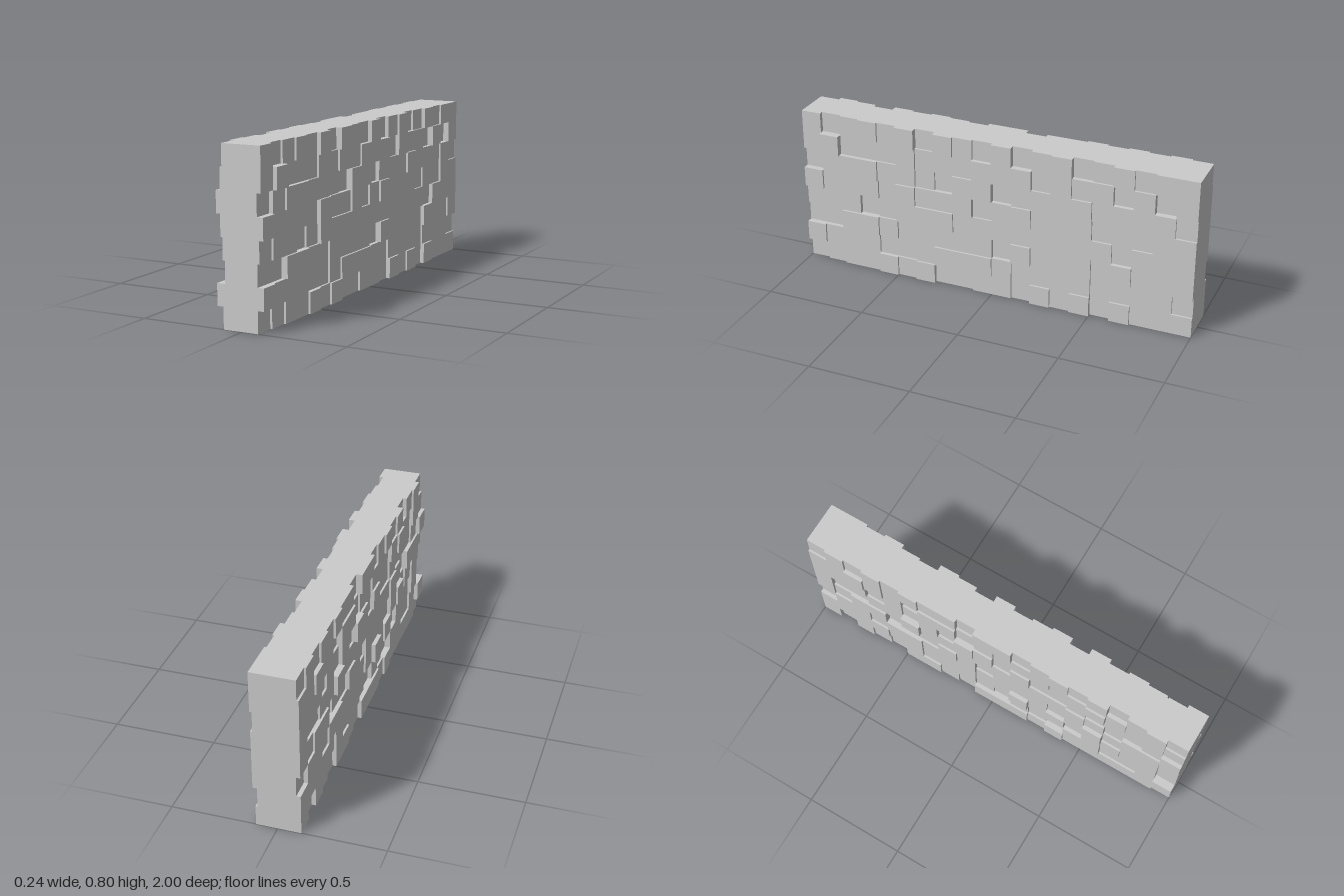
import * as THREE from 'three';
import { mergeGeometries } from 'three/addons/utils/BufferGeometryUtils.js';

const COLS = 20, ROWS = 8, S = 0.1;

// seeded generator for the block relief
function seeded(seed) {
  return () => {
    seed = (seed * 1664525 + 1013904223) >>> 0;
    return seed / 4294967296;
  };
}

// relief depth per block, col 0 at the front (+z), row 0 at the ground
function relief(seed, { front, top, deep, proud, flat }) {
  const rnd = seeded(seed);
  const levels = [0.09, 0.1, 0.1, 0.1, 0.11, 0.11, 0.09, 0.11];
  const h = Array.from({ length: COLS }, () =>
    Array.from({ length: ROWS }, () => levels[Math.floor(rnd() * levels.length)]));
  for (const [c0, c1, r0, r1] of flat)
    for (let c = c0; c <= c1; c++) for (let r = r0; r <= r1; r++) h[c][r] = 0.1;
  for (const [c, r] of deep) h[c][r] = 0.08;
  for (const [c, r, v] of proud) h[c][r] = v;
  top.forEach((v, c) => { h[c][ROWS - 1] = v / 100; });
  front.forEach((v, r) => { h[0][r] = v / 100; });
  return h;
}

const leftRelief = relief(11, {
  front: [8, 11, 8, 9, 11, 8, 10, 10],
  top: [10, 8, 9, 10, 9, 11, 8, 11, 10, 9, 11, 8, 10, 11, 8, 9, 11, 10, 11, 11],
  deep: [[7, 5], [10, 5], [10, 2], [3, 3], [1, 2], [16, 6], [18, 6]],
  proud: [[1, 6, 0.12], [14, 5, 0.11], [11, 4, 0.11], [15, 4, 0.09]],
  flat: [[12, 15, 3, 5], [16, 17, 4, 5], [12, 14, 1, 2]],
});

const rightRelief = relief(29, {
  front: [9, 12, 8, 9, 10, 12, 10, 9],
  top: [9, 11, 10, 8, 11, 10, 11, 10, 9, 11, 11, 8, 10, 10, 11, 10, 11, 10, 11, 10],
  deep: [[14, 6], [15, 3], [10, 3], [6, 1], [3, 4], [9, 1]],
  proud: [[4, 6, 0.12], [4, 3, 0.12], [14, 4, 0.12], [11, 5, 0.12], [8, 2, 0.12], [17, 6, 0.12]],
  flat: [[7, 9, 2, 4], [11, 13, 1, 2]],
});

// the four directions in which a block meets its neighbours
const SIDES = [
  { dc: -1, dr: 0, rx: 0, ry: 0 },
  { dc: 1, dr: 0, rx: 0, ry: Math.PI },
  { dc: 0, dr: 1, rx: -Math.PI / 2, ry: 0 },
  { dc: 0, dr: -1, rx: Math.PI / 2, ry: 0 },
];

const cellY = r => (r + 0.5) * S;
const cellZ = c => 1 - (c + 0.5) * S;

// strip on the side of a block, running from x0 to x1
function strip(c, r, side, x0, x1) {
  return new THREE.PlaneGeometry(x1 - x0, S).rotateX(side.rx).rotateY(side.ry).translate(
    (x0 + x1) / 2, cellY(r) + side.dr * S / 2, cellZ(c) - side.dc * S / 2);
}

// stone face: block caps plus the steps between blocks of different depth
function stoneFace(h, sign) {
  const parts = [];
  for (let c = 0; c < COLS; c++) for (let r = 0; r < ROWS; r++) {
    const d = h[c][r];
    parts.push(new THREE.PlaneGeometry(S, S).rotateY(sign * Math.PI / 2)
      .translate(sign * d, cellY(r), cellZ(c)));
    for (const side of SIDES) {
      const n = h[c + side.dc]?.[r + side.dr];
      if (n === undefined || n >= d) continue;
      parts.push(strip(c, r, side, sign > 0 ? n : -d, sign > 0 ? d : -n));
    }
  }
  return mergeGeometries(parts);
}

// outer rim: top, bottom and both ends of the wall
function rim() {
  const parts = [];
  for (let c = 0; c < COLS; c++) for (let r = 0; r < ROWS; r++)
    for (const side of SIDES)
      if (leftRelief[c + side.dc]?.[r + side.dr] === undefined)
        parts.push(strip(c, r, side, -rightRelief[c][r], leftRelief[c][r]));
  return mergeGeometries(parts);
}

export function createModel() {
  const group = new THREE.Group();
  group.name = 'stoneWall';
  const material = new THREE.MeshStandardMaterial({ color: 0xcccccc, flatShading: true });
  const add = (name, geometry) => {
    const mesh = new THREE.Mesh(geometry, material);
    mesh.name = name;
    group.add(mesh);
  };
  add('leftStoneFace', stoneFace(leftRelief, 1));
  add('rightStoneFace', stoneFace(rightRelief, -1));
  add('wallRim', rim());
  return group;
}
